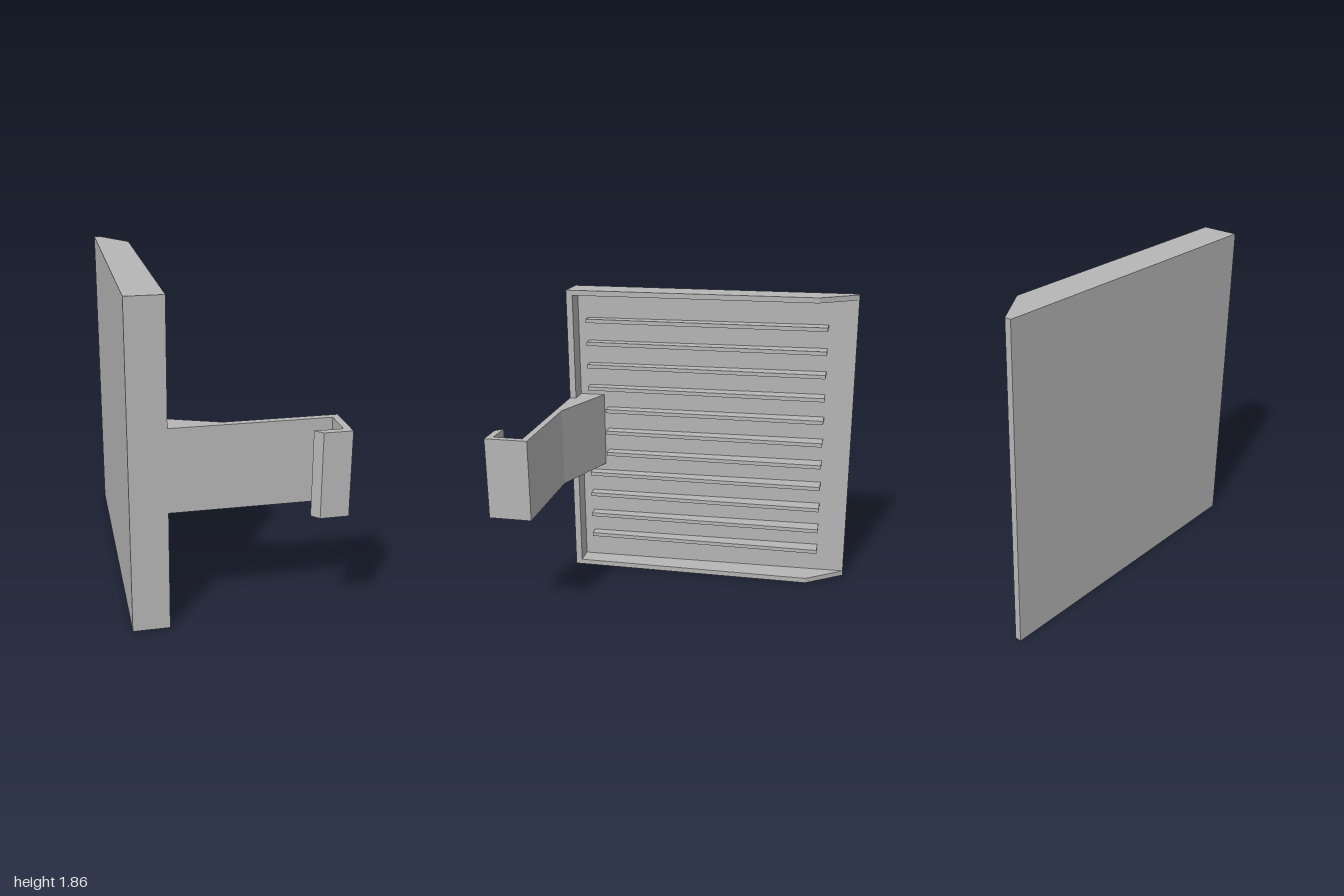
import * as THREE from 'three';

const grey = new THREE.MeshStandardMaterial({ color: 0xb6b6b6 });
grey.name = 'grey plastic';

// Extrudes an outline of [x, z] points upward from y0 to y1
function slab(name, points, y0, y1) {
  const shape = new THREE.Shape(points.map(([x, z]) => new THREE.Vector2(x, -z)));
  const geometry = new THREE.ExtrudeGeometry(shape, { depth: y1 - y0, bevelEnabled: false });
  geometry.rotateX(-Math.PI / 2);
  geometry.translate(0, y0, 0);
  const mesh = new THREE.Mesh(geometry, grey);
  mesh.name = name;
  return mesh;
}

export function createModel() {
  const model = new THREE.Group();
  model.name = 'louvredPanelWithClip';
  const height = 1.86, wall = 0.032, rim = -0.355;

  // Tapered back plate, between the top and bottom walls
  model.add(slab('backPlate',
    [[-0.562, 0.79], [-0.472, 0.79], [-0.515, -1], [-0.552, -1]], wall, height - wall));

  // Top and bottom walls, chamfered toward the back
  const side = [[-0.562, 0.79], [rim, 0.79], [rim, -0.765], [-0.515, -1], [-0.552, -1]];
  model.add(slab('bottomWall', side, 0, wall));
  model.add(slab('topWall', side, height - wall, height));

  // Front wall
  model.add(slab('frontWall',
    [[-0.472, 0.79], [rim, 0.79], [rim, 0.75], [-0.473, 0.75]], wall, height - wall));

  // Horizontal ribs; the middle three stop short of the clip gusset
  for (let i = 0; i < 11; i++) {
    const y = 0.2 + i * 0.1461;
    const front = i >= 4 && i <= 6 ? 0.57 : 0.685;
    model.add(slab('rib',
      [[-0.53, front], [-0.41, front], [-0.41, -0.825], [-0.53, -0.825]], y - 0.012, y + 0.012));
  }

  // Strap with gusset, return leg and bevelled hook lip
  model.add(slab('clip', [
    [rim, 0.79], [0.52, 0.79], [0.52, 0.96], [0.365, 0.96], [0.405, 1], [0.56, 1],
    [0.56, 0.75], [-0.06, 0.75], [-0.478, 0.595], [-0.478, 0.75], [rim, 0.75],
  ], 0.695, 1.17));

  return model;
}
